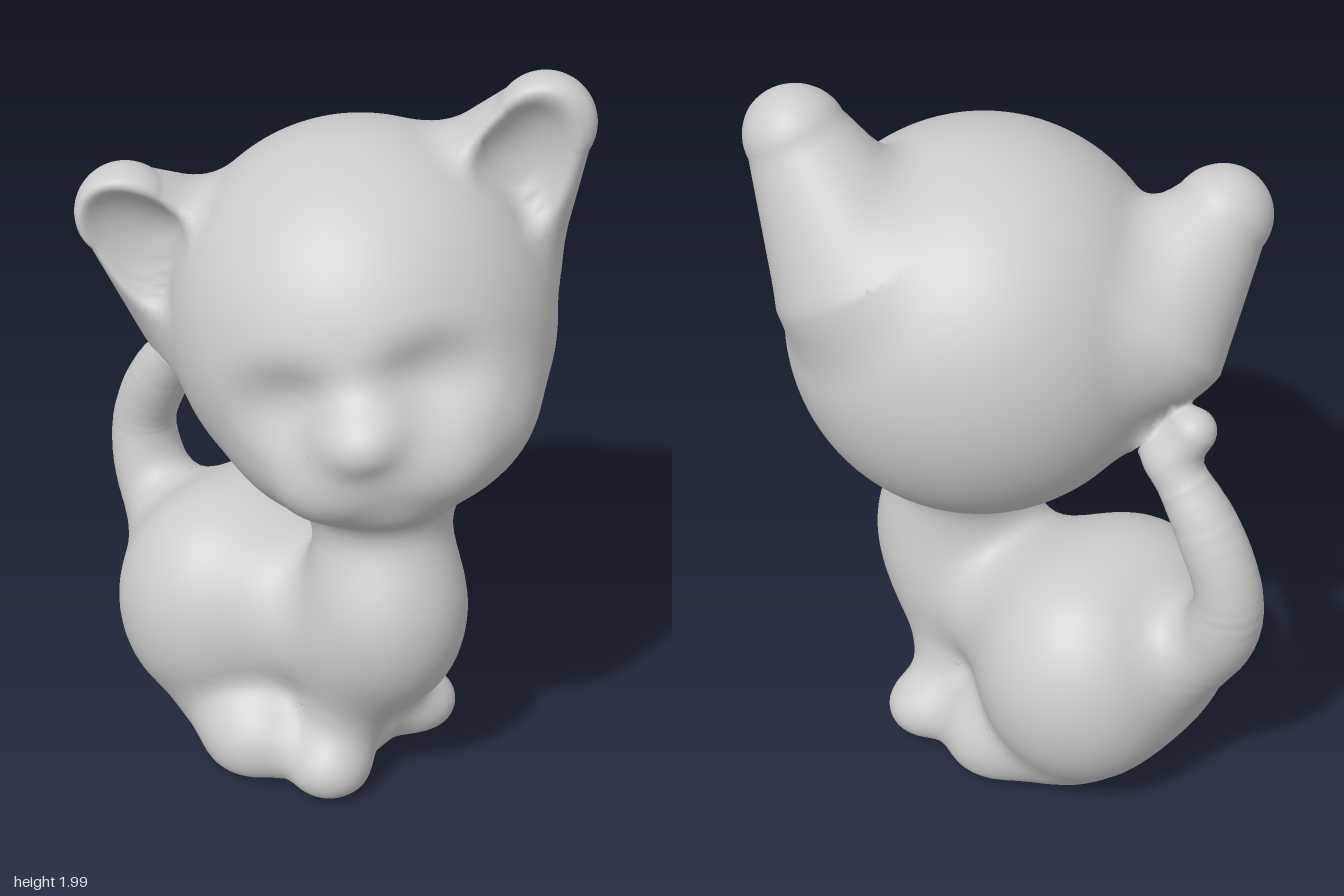
import * as THREE from 'three';

// The kitten is a list of soft forms (ellipsoids and tapered limbs). Each form's
// mesh is shrink-wrapped onto the blended surface of all forms, which makes the fillets.
const V = (a) => new THREE.Vector3(...a);

function smoothMin(a, b, k) {
  const h = Math.max(k - Math.abs(a - b), 0) / k;
  return Math.min(a, b) - h * h * k * 0.25;
}
const smoothMax = (a, b, k) => -smoothMin(-a, -b, k);

function ellipsoid(center, radii, quat = new THREE.Quaternion()) {
  const c = V(center), r = V(radii), inv = quat.clone().invert(), q = new THREE.Vector3();
  return {
    dist(p) {
      q.copy(p).sub(c).applyQuaternion(inv).divide(r);
      const k0 = q.length();
      const k1 = q.divide(r).length();
      return k1 < 1e-6 ? -Math.min(...radii) : (k0 * (k0 - 1)) / k1;
    },
    geometry(seg) {
      return new THREE.SphereGeometry(1, seg, Math.round(seg * 0.7))
        .scale(...radii).applyQuaternion(quat).translate(...center);
    },
  };
}

// Limb with rounded ends and a radius that changes from a to b
function limb(start, ra, end, rb) {
  const a = V(start), b = V(end), ab = b.clone().sub(a), len2 = ab.lengthSq();
  const q = new THREE.Vector3();
  return {
    dist(p) {
      q.copy(p).sub(a);
      const t = THREE.MathUtils.clamp(q.dot(ab) / len2, 0, 1);
      return q.addScaledVector(ab, -t).length() - (ra + (rb - ra) * t);
    },
    geometry(seg) {
      const g = new THREE.CapsuleGeometry(1, 1, Math.round(seg / 4), seg, 12);
      const turn = new THREE.Quaternion().setFromUnitVectors(V([0, 1, 0]), ab.clone().normalize());
      const pos = g.attributes.position, p = new THREE.Vector3();
      for (let i = 0; i < pos.count; i++) {
        p.fromBufferAttribute(pos, i);
        const t = THREE.MathUtils.clamp(p.y + 0.5, 0, 1);
        p.y -= t - 0.5;
        p.applyQuaternion(turn).multiplyScalar(ra + (rb - ra) * t).add(a).addScaledVector(ab, t);
        pos.setXYZ(i, p.x, p.y, p.z);
      }
      return g;
    },
  };
}

// Curved limb through points [x, y, z, radius]
function curvedLimb(points) {
  const curve = new THREE.CatmullRomCurve3(points.map((p) => V(p.slice(0, 3))));
  const radii = new THREE.CatmullRomCurve3(points.map((p, i) => V([i, p[3], 0])));
  const parts = [], count = 24;
  for (let i = 0; i < count; i++) {
    const [t, u] = [i / count, (i + 1) / count];
    parts.push(limb(curve.getPoint(t).toArray(), radii.getPoint(t).y,
      curve.getPoint(u).toArray(), radii.getPoint(u).y));
  }
  return {
    dist: (p) => parts.reduce((d, part) => Math.min(d, part.dist(p)), 10),
    geometry: (seg) => new THREE.TubeGeometry(curve, 56, 0.085, seg),
  };
}

// Ear: a tapered limb cut flat in front, with a hollow scooped out
function cuppedEar(cone, hollow, front) {
  return {
    dist: (p) => smoothMax(smoothMax(cone.dist(p), p.z - front, 0.04), -hollow.dist(p), 0.03),
    geometry(seg) {
      const g = cone.geometry(seg), pos = g.attributes.position;
      for (let i = 0; i < pos.count; i++) pos.setZ(i, Math.min(pos.getZ(i), front));
      return g;
    },
  };
}

function buildForms() {
  const forms = [];
  const add = (name, form, blend = 0.08, seg = 52) => forms.push({ name, form, blend, seg });
  const dent = (form, blend) => forms.push({ form, blend, dent: true });

  // Torso, sitting diagonally
  add('chest', ellipsoid([0.135, 0.53, 0.125], [0.215, 0.27, 0.225]));
  add('back', limb([0.08, 0.42, 0.06], 0.215, [-0.2, 0.4, -0.2], 0.26), 0.08);
  add('neck', limb([0.13, 0.55, 0.1], 0.18, [0.12, 0.98, 0.05], 0.185), 0.06);
  add('leftHaunch', ellipsoid([-0.18, 0.375, -0.295], [0.285, 0.33, 0.29]), 0.08);
  add('rightHaunch', ellipsoid([-0.3, 0.375, -0.17], [0.29, 0.33, 0.285]), 0.08);
  add('seat', ellipsoid([-0.1, 0.1, -0.1], [0.31, 0.17, 0.31]), 0.1);

  // Legs and paws
  add('rightFrontLeg', limb([0.07, 0.36, 0.12], 0.12, [0.0, 0.08, 0.17], 0.08), 0.08);
  add('leftFrontLeg', limb([0.14, 0.36, 0.04], 0.12, [0.18, 0.08, -0.09], 0.08), 0.08);
  add('rightFrontPaw', ellipsoid([-0.015, 0.075, 0.21], [0.1, 0.085, 0.1]), 0.07, 36);
  add('leftFrontPaw', ellipsoid([0.235, 0.075, -0.1], [0.1, 0.085, 0.1]), 0.07, 36);
  add('rightHindPaw', ellipsoid([-0.22, 0.09, 0.09], [0.11, 0.11, 0.11]), 0.1, 36);
  add('leftHindPaw', ellipsoid([0.06, 0.09, -0.25], [0.1, 0.11, 0.1]), 0.1, 36);

  // Head, tilted to its right; the helpers place forms in its own frame
  const tilt = new THREE.Quaternion().setFromEuler(new THREE.Euler(0, -0.02, 0.24));
  const at = (p) => V(p).applyQuaternion(tilt).add(V([0.07, 1.33, -0.03])).toArray();
  const onHead = (c, r, roll = 0) => ellipsoid(at(c), r,
    tilt.clone().multiply(new THREE.Quaternion().setFromAxisAngle(V([0, 0, 1]), roll)));

  add('skull', onHead([0, -0.005, 0], [0.495, 0.51, 0.5]), 0.12, 96);
  add('muzzle', onHead([0.03, -0.19, 0.27], [0.35, 0.22, 0.25]), 0.12, 72);
  for (const s of [1, -1]) dent(onHead([s * 0.24, 0.03, 0.52], [0.15, 0.08, 0.1], s * -0.1), 0.1);
  add('nose', onHead([-0.01, -0.075, 0.5], [0.11, 0.085, 0.115]), 0.1, 44);
  for (const s of [1, -1]) {
    add(s > 0 ? 'leftCheek' : 'rightCheek',
      onHead([s * 0.1 + 0.01, -0.2, 0.44], [0.15, 0.11, 0.12]), 0.09, 44);
  }
  add('chin', onHead([0.02, -0.29, 0.41], [0.1, 0.07, 0.1]), 0.08, 36);

  // Ears
  for (const s of [1, -1]) {
    const cone = limb(at([s * 0.35 - 0.02, 0.15, -0.11]), 0.245,
      at([s * 0.535 + 0.025, 0.41, 0]), 0.128);
    const hollow = onHead([s * 0.455, 0.3, 0.13], [0.14, 0.25, 0.155], s * -0.6);
    add(s > 0 ? 'leftEar' : 'rightEar', cuppedEar(cone, hollow, 0.04), 0.08, 72);
  }

  // Tail curling up to the back of the head, ending in a small knob
  add('tail', curvedLimb([
    [-0.36, 0.38, -0.28, 0.1], [-0.46, 0.5, -0.4, 0.11], [-0.515, 0.63, -0.465, 0.1],
    [-0.525, 0.76, -0.48, 0.087], [-0.47, 0.93, -0.43, 0.082], [-0.385, 1.08, -0.35, 0.06],
  ]), 0.12, 28);
  add('tailTip', limb([-0.385, 1.08, -0.35], 0.058, [-0.435, 1.17, -0.345], 0.06), 0.03, 32);
  return forms;
}

export function createModel() {
  const forms = buildForms();
  const group = new THREE.Group();
  group.name = 'kitten';
  const material = new THREE.MeshStandardMaterial({ color: 0xcccccc });

  // Blended distance to the whole body, cut flat at the ground
  const field = (p) => {
    let d = 10;
    for (const f of forms) {
      const e = f.form.dist(p);
      d = f.dent ? smoothMax(d, -e, f.blend) : smoothMin(d, e, f.blend);
    }
    return smoothMax(d, -p.y, 0.04);
  };

  const corners = [[1, -1, -1], [-1, -1, 1], [-1, 1, -1], [1, 1, 1]].map(V);
  const probe = new THREE.Vector3();
  const slope = (p, out) => {
    out.set(0, 0, 0);
    for (const c of corners) out.addScaledVector(c, field(probe.copy(p).addScaledVector(c, 0.001)));
    return out.normalize();
  };

  // Slide each vertex onto the blended surface; deeply buried ones stay inside
  const p = new THREE.Vector3(), n = new THREE.Vector3();
  for (const { name, form, seg, dent } of forms) {
    if (dent) continue;
    const geometry = form.geometry(seg);
    const pos = geometry.attributes.position, nor = geometry.attributes.normal;
    for (let i = 0; i < pos.count; i++) {
      p.fromBufferAttribute(pos, i);
      let d = field(p);
      if (d > -0.12) {
        for (let step = 0; step < 10 && Math.abs(d) > 0.0005; step++) {
          p.addScaledVector(slope(p, n), -0.9 * d);
          d = field(p);
        }
      }
      slope(p, n);
      pos.setXYZ(i, p.x, p.y, p.z);
      nor.setXYZ(i, n.x, n.y, n.z);
    }
    const mesh = new THREE.Mesh(geometry, material);
    mesh.name = name;
    group.add(mesh);
  }
  return group;
}
